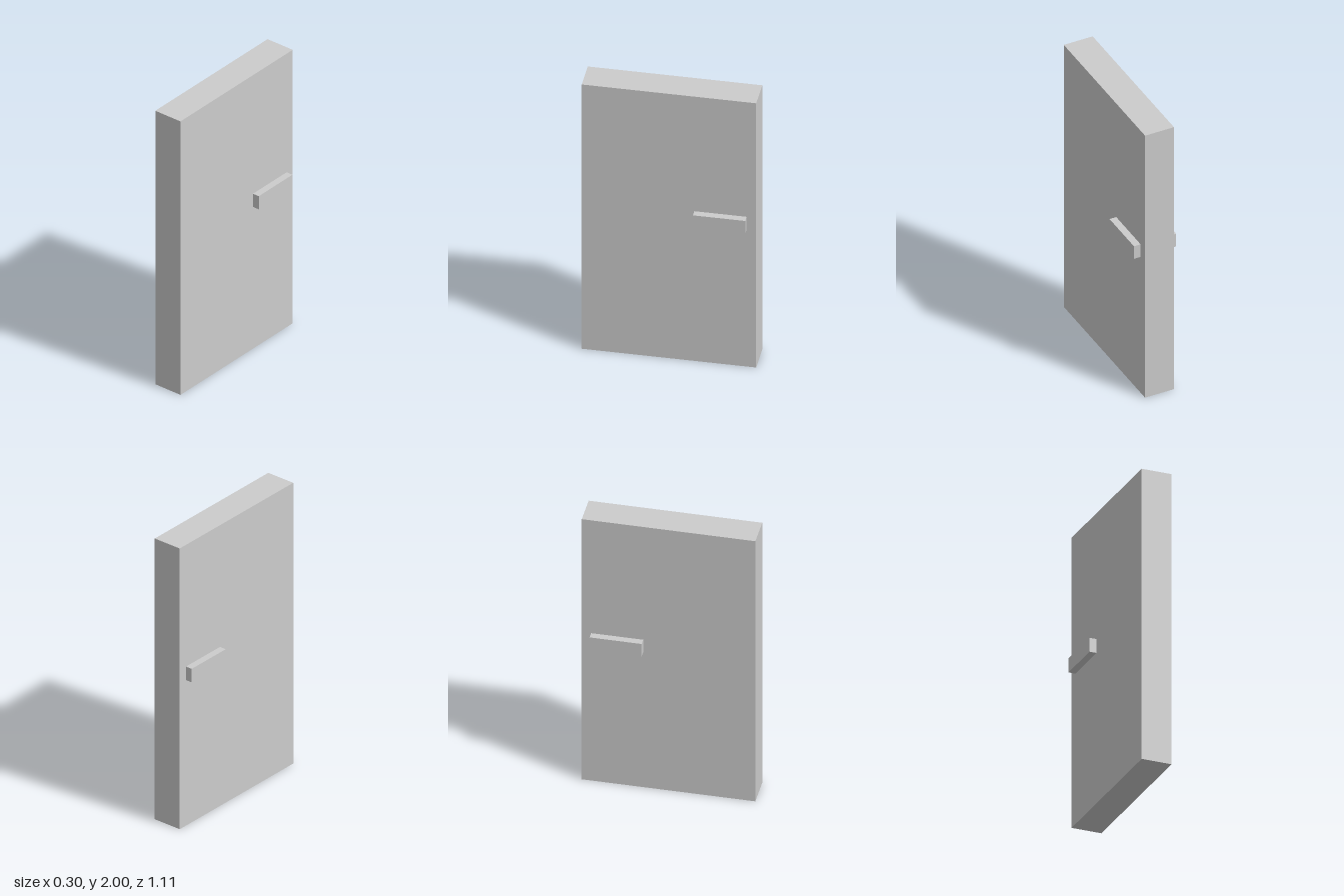
import * as THREE from 'three';

export function createModel() {
  const model = new THREE.Group();
  model.name = 'door';
  const material = new THREE.MeshStandardMaterial({ color: 0xcccccc, flatShading: true });

  const addBox = (name, size, position) => {
    const mesh = new THREE.Mesh(new THREE.BoxGeometry(...size), material);
    mesh.name = name;
    mesh.position.set(...position);
    model.add(mesh);
  };

  // Door slab, thin along x
  const thickness = 0.203;
  addBox('doorPanel', [thickness, 2, 1.11], [0, 1, 0]);

  // One bar handle on each face, near the back edge
  const depth = 0.047;
  for (const [name, side] of [['leftHandle', 1], ['rightHandle', -1]]) {
    addBox(name, [depth, 0.096, 0.333], [side * (thickness + depth) / 2, 1.085, -0.328]);
  }

  return model;
}
